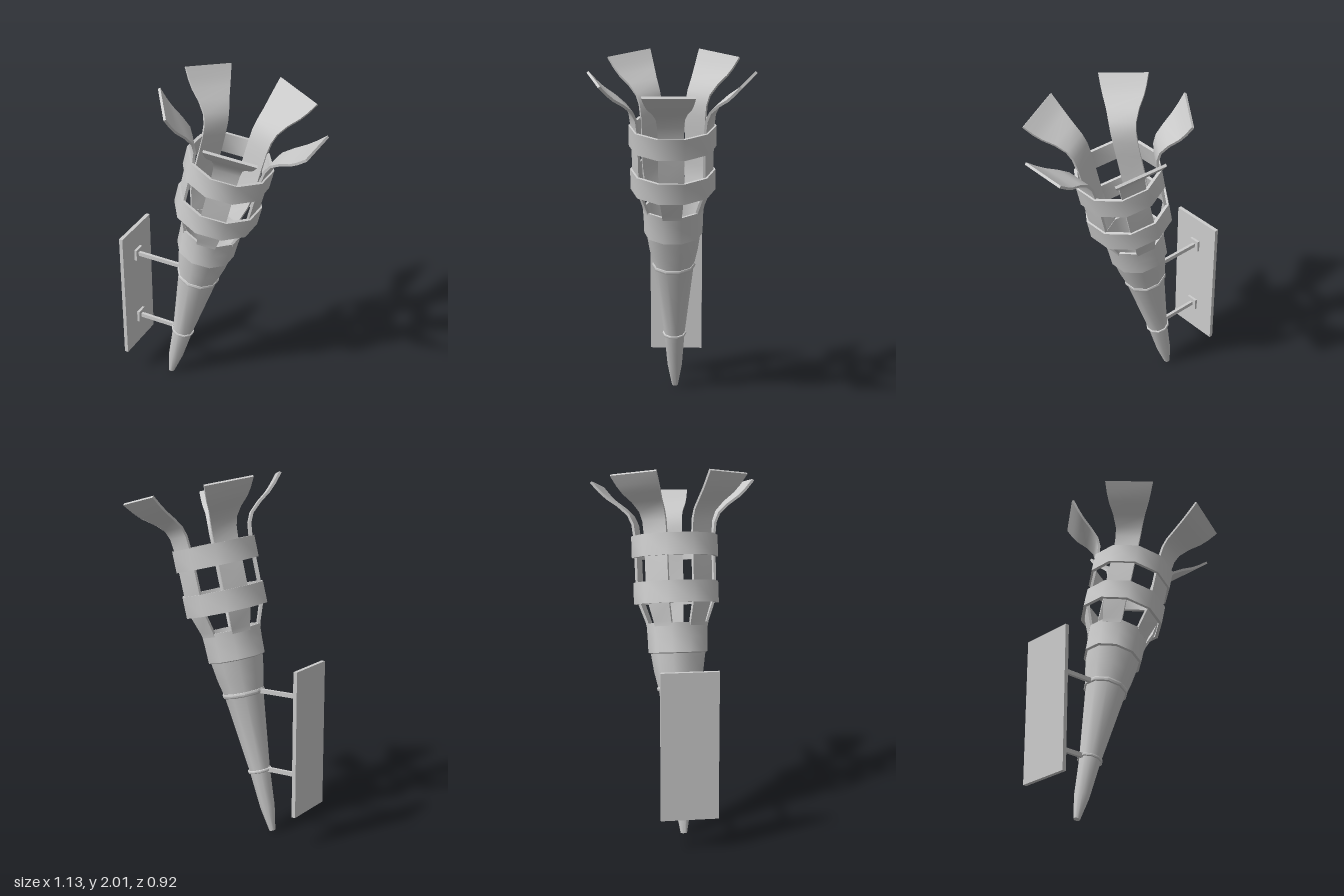
import * as THREE from 'three';
import { toCreasedNormals } from 'three/addons/utils/BufferGeometryUtils.js';

const SIDES = 10;
const TILT = THREE.MathUtils.degToRad(14);
const material = new THREE.MeshStandardMaterial({ color: 0xcccccc, side: THREE.DoubleSide });

function add(parent, name, geometry, x = 0, y = 0, z = 0) {
  const mesh = new THREE.Mesh(geometry, material);
  mesh.name = name;
  mesh.position.set(x, y, z);
  parent.add(mesh);
  return mesh;
}

// Ten-sided turned part from [radius, height] pairs
function turned(profile) {
  const points = profile.map(([r, y]) => new THREE.Vector2(r, y));
  return toCreasedNormals(new THREE.LatheGeometry(points, SIDES), 0.75);
}

// Strip with a rectangular section, swept along [radius, height, half width] stations
function petalGeometry(stations, thickness) {
  const positions = [], index = [];
  stations.forEach(([r, y, w], i) => {
    const a = stations[Math.max(i - 1, 0)];
    const b = stations[Math.min(i + 1, stations.length - 1)];
    const len = Math.hypot(b[0] - a[0], b[1] - a[1]);
    // inward offset, square to the path
    const nr = -(b[1] - a[1]) / len * thickness;
    const ny = (b[0] - a[0]) / len * thickness;
    positions.push(r, y, w, r, y, -w, r + nr, y + ny, -w, r + nr, y + ny, w);
  });
  for (let i = 0; i < stations.length - 1; i++) {
    for (let j = 0; j < 4; j++) {
      const p = i * 4 + j, q = i * 4 + (j + 1) % 4;
      index.push(p, q, q + 4, p, q + 4, p + 4);
    }
  }
  const e = (stations.length - 1) * 4;
  index.push(0, 2, 1, 0, 3, 2, e, e + 1, e + 2, e, e + 2, e + 3);
  const geometry = new THREE.BufferGeometry();
  geometry.setAttribute('position', new THREE.Float32BufferAttribute(positions, 3));
  geometry.setIndex(index);
  return toCreasedNormals(geometry, 0.8);
}

export function createModel() {
  const model = new THREE.Group();
  model.name = 'wallTorch';

  // Everything on the leaning axis
  const torch = new THREE.Group();
  torch.name = 'torch';
  torch.position.set(-0.337, 0.004, 0);
  torch.rotation.z = -TILT;
  model.add(torch);

  // Tapered handle
  add(torch, 'handle', turned([
    [0, 0], [0.018, 0], [0.043, 0.14], [0.06, 0.354], [0.115, 0.8], [0.138, 0.9], [0.156, 1.02],
  ]));

  // Cup with a hollow inside
  add(torch, 'cup', turned([
    [0.153, 1.0], [0.166, 1.005], [0.168, 1.09], [0.172, 1.168], [0.158, 1.168],
    [0.148, 1.03], [0.105, 0.82], [0, 0.78],
  ]));

  // Rounded collars on the handle
  for (const [r, y, tube] of [[0.063, 0.354, 0.009], [0.113, 0.804, 0.015]]) {
    const profile = [];
    for (let i = 0; i <= 8; i++) {
      const a = -Math.PI / 2 + i * Math.PI / 4;
      profile.push([r + Math.cos(a) * tube * 0.8, y + Math.sin(a) * tube]);
    }
    add(torch, 'collar', turned(profile));
  }

  // Two bands around the basket
  for (const [y, r] of [[1.335, 0.238], [1.592, 0.242]]) {
    const h = 0.06, inner = r - 0.018;
    add(torch, 'band', turned([
      [inner, y - h], [r, y - h], [r, y + h], [inner, y + h], [inner, y - h],
    ]));
  }

  // Five flared petals rising from the cup
  const petal = petalGeometry([
    [0.163, 1.15, 0.053], [0.168, 1.175, 0.055], [0.204, 1.277, 0.065], [0.215, 1.36, 0.07],
    [0.217, 1.56, 0.07], [0.22, 1.65, 0.07], [0.228, 1.72, 0.072], [0.25, 1.77, 0.077],
    [0.3, 1.818, 0.092], [0.357, 1.861, 0.115], [0.396, 1.9, 0.128], [0.439, 1.952, 0.14],
  ], 0.014);
  for (let i = 0; i < 5; i++) {
    add(torch, 'petal', petal).rotation.y = i * Math.PI * 2 / 5;
  }

  // Wall plate with two arms and their pads
  add(model, 'wallPlate', new THREE.BoxGeometry(0.022, 0.815, 0.312), -0.559, 0.58, 0);
  for (const [y, end] of [[0.36, -0.28], [0.808, -0.2]]) {
    add(model, 'armPad', new THREE.BoxGeometry(0.016, 0.07, 0.064), -0.541, y, 0);
    const length = end + 0.54;
    add(model, 'arm', new THREE.BoxGeometry(length, 0.024, 0.018), end - length / 2, y, 0);
  }

  return model;
}
